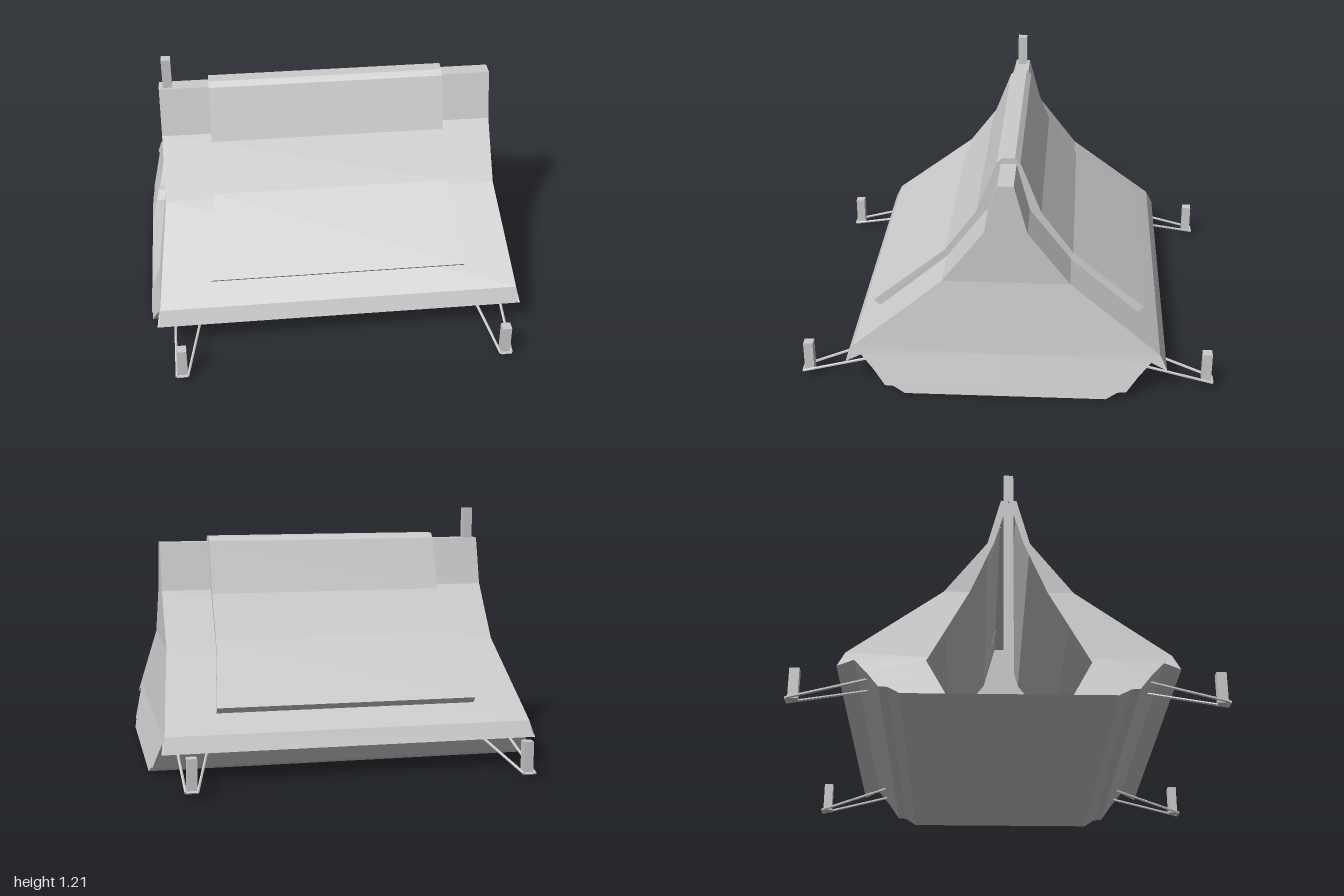
import * as THREE from 'three';

const mat = new THREE.MeshStandardMaterial({ color: 0xcccccc, flatShading: true, side: THREE.DoubleSide });

// Flat-shaded sheet through rows of points
function sheet(name, rows) {
  const pos = [];
  for (let i = 0; i + 1 < rows.length; i++) {
    for (let j = 0; j + 1 < rows[i].length; j++) {
      const [a, b, c, d] = [rows[i][j], rows[i][j + 1], rows[i + 1][j + 1], rows[i + 1][j]];
      pos.push(...a, ...c, ...b, ...a, ...d, ...c);
    }
  }
  const geo = new THREE.BufferGeometry();
  geo.setAttribute('position', new THREE.Float32BufferAttribute(pos, 3));
  geo.computeVertexNormals();
  const mesh = new THREE.Mesh(geo, mat);
  mesh.name = name;
  return mesh;
}

function box(name, w, h, d, x, y, z) {
  const mesh = new THREE.Mesh(new THREE.BoxGeometry(w, h, d), mat);
  mesh.position.set(x, y, z);
  mesh.name = name;
  return mesh;
}

function rope(a, b) {
  const from = new THREE.Vector3(...a), to = new THREE.Vector3(...b);
  const mesh = new THREE.Mesh(new THREE.CylinderGeometry(0.007, 0.007, from.distanceTo(to), 6), mat);
  mesh.position.copy(from).add(to).multiplyScalar(0.5);
  mesh.quaternion.setFromUnitVectors(new THREE.Vector3(0, 1, 0), to.sub(from).normalize());
  mesh.name = 'guyRope';
  return mesh;
}

// Half length of the tent at height y: the ends splay out towards the ground
function halfLength(y) {
  if (y >= 0.56) return 0.83;
  if (y >= 0.2) return 0.83 + (0.56 - y) / 0.36 * 0.055;
  return 0.885 + (0.2 - y) / 0.2 * 0.055;
}

// Half profile [z, y] to full profile, from -z over the middle to +z
const mirrorProfile = half => [...half.map(([z, ...r]) => [-z, ...r]).reverse(), ...half];

export function createModel() {
  const tent = new THREE.Group();
  tent.name = 'tent';

  // Roof with flared eaves
  const roofHalf = [[0.037, 1.055], [0.1, 0.82], [0.3, 0.56], [0.73, 0.22], [0.765, 0.145]];
  tent.add(sheet('roof', mirrorProfile(roofHalf).map(([z, y]) => {
    const x = Math.min(halfLength(y), 0.89);
    return [[-x, y, z], [x, y, z]];
  })));

  // Rain cover: [outer z, outer y, inner y, inner |z|, half length]
  const coverHalf = [
    [0.03, 1.083, 1.055, 0.03, 0.585], [0.055, 1.06, 1.05, 0.037, 0.585],
    [0.155, 0.805, 0.82, 0.1, 0.585], [0.31, 0.595, 0.56, 0.3, 0.587],
    [0.66, 0.33, 0.3, 0.63, 0.63], [0.63, 0.3, 0.3, 0.63, 0.63],
  ];
  tent.add(sheet('rainCover', mirrorProfile(coverHalf).map(([z, y, yi, zi, x]) => {
    const inner = Math.sign(z) * zi;
    return [[-x, yi, inner], [-x, y, z], [x, y, z], [x, yi, inner]];
  })));

  // Groundsheet with raised long sides
  const tubHalf = [[0.48, 0], [0.535, 0.033], [0.575, 0.035], [0.63, 0.11], [0.69, 0.18], [0.765, 0.145]];
  tent.add(sheet('groundsheet', mirrorProfile(tubHalf).map(([z, y]) => {
    const x = halfLength(y);
    return [[-x, y, z], [x, y, z]];
  })));

  // End walls as strips: [outer z, outer y, door edge z, door edge y]
  const wallRows = [
    [0.037, 1.055, 0, 1.055], [0.1, 0.82, 0.07, 0.82], [0.3, 0.56, 0.18, 0.56],
    [0.73, 0.22, 0.36, 0.2], [0.69, 0.18, 0.37, 0.18], [0.63, 0.11, 0.335, 0.11],
    [0.575, 0.035, 0.3, 0.04], [0.535, 0.033, 0.296, 0.033], [0.48, 0, 0.28, 0],
  ];
  for (const end of [1, -1]) {
    for (const side of [1, -1]) {
      const point = (z, y) => [end * halfLength(y), y, side * z];
      tent.add(sheet(end > 0 ? 'closedEndWall' : 'doorPanel', wallRows.map(([z, y, dz, dy]) =>
        [point(end > 0 ? 0 : dz, dy), point(z, y)])));
      tent.add(sheet('eaveEnd', [[point(0.73, 0.22), point(0.69, 0.18)], [point(0.765, 0.145), point(0.765, 0.145)]]));
    }
  }

  // Pole at the open end
  tent.add(box('pole', 0.046, 1.21, 0.046, -0.787, 0.605, 0));

  // Corner pegs, each with a rope looped round its foot
  for (const sx of [1, -1]) {
    for (const sz of [1, -1]) {
      const corner = new THREE.Group();
      corner.name = 'cornerPeg';
      corner.add(box('peg', 0.046, 0.15, 0.046, sx * 0.785, 0.103, sz * 0.963));
      const path = [[0.815, 0.12, 0.63], [0.815, 0.028, 0.992], [0.762, 0.028, 0.992], [0.675, 0.125, 0.63]]
        .map(([x, y, z]) => [sx * x, y, sz * z]);
      for (let i = 0; i < 3; i++) corner.add(rope(path[i], path[i + 1]));
      tent.add(corner);
    }
  }
  return tent;
}
